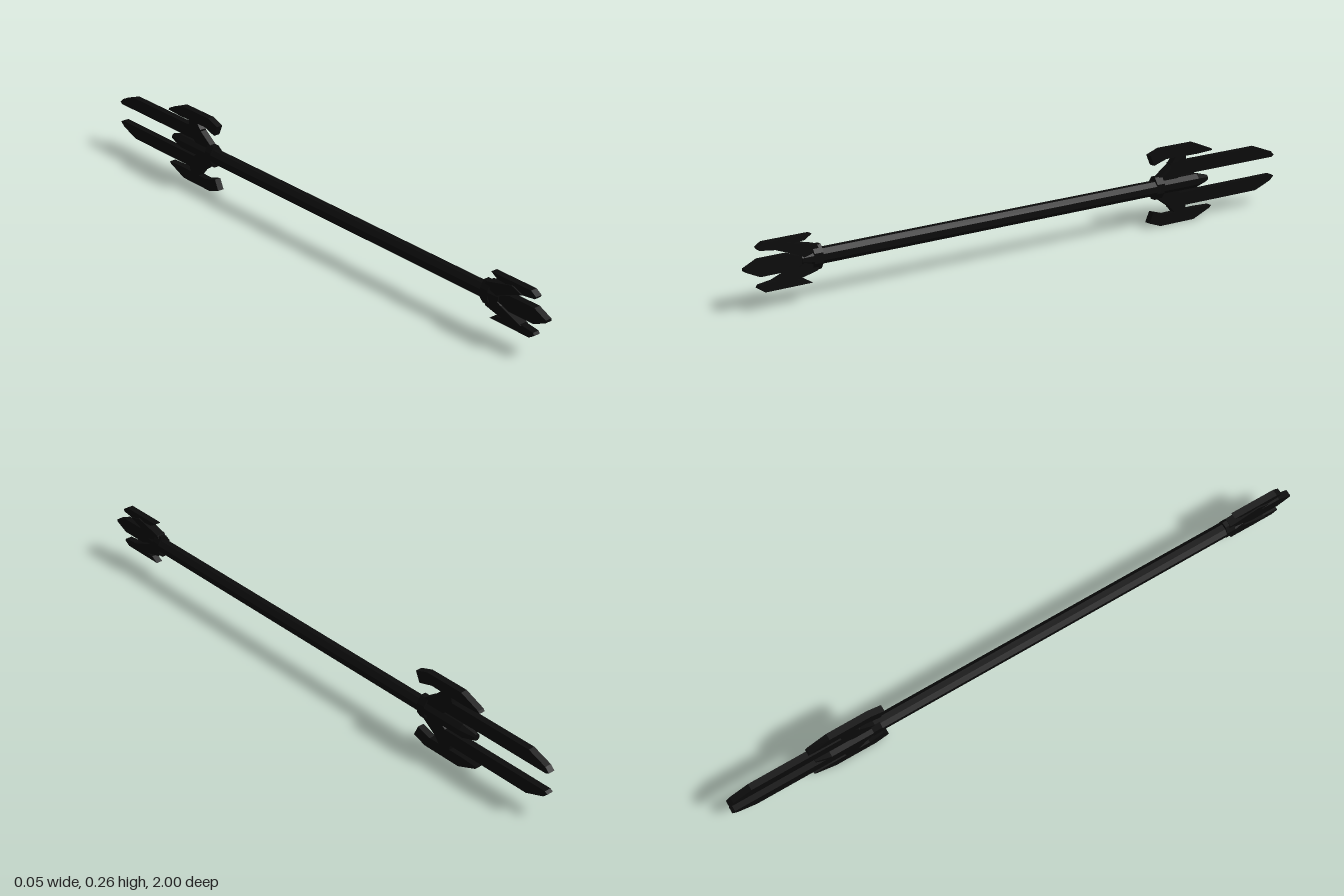
import * as THREE from 'three';

const AXIS = 0.128; // height of the shaft's centre line

export function createModel() {
  const group = new THREE.Group();
  group.name = 'doubleEndedStaff';
  const black = new THREE.MeshStandardMaterial({ color: 0x0b0b0b });
  black.name = 'black metal';

  const add = (name, geometry, z = 0) => {
    const mesh = new THREE.Mesh(geometry, black);
    mesh.name = name;
    mesh.position.set(0, AXIS, z);
    group.add(mesh);
  };

  // Flat plate cut from a [z, height above axis] outline, centred on x
  const plate = (name, points, halfWidth, sign = 1) => {
    const shape = new THREE.Shape(points.map(([z, y]) => new THREE.Vector2(z, y * sign)));
    const geometry = new THREE.ExtrudeGeometry(shape, { depth: halfWidth * 2, bevelEnabled: false });
    geometry.translate(0, 0, -halfWidth).rotateY(-Math.PI / 2);
    add(name, geometry);
  };

  // Eight-sided bar along z, with flats on top and sides
  const bar = (name, rFront, rBack, zFront, zBack, heightScale = 1) => {
    const k = 1 / Math.cos(Math.PI / 8);
    const geometry = new THREE.CylinderGeometry(rFront * k, rBack * k, zFront - zBack, 8)
      .rotateY(Math.PI / 8).rotateX(Math.PI / 2).scale(1, heightScale, 1).toNonIndexed();
    geometry.computeVertexNormals();
    add(name, geometry, (zFront + zBack) / 2);
  };

  // Shaft, collars and sockets
  bar('shaft', 0.023, 0.023, 0.78, -0.5);
  bar('frontCollar', 0.023, 0.023, 0.785, 0.755, 1.6);
  bar('backCollar', 0.023, 0.023, -0.485, -0.515, 1.6);
  bar('frontSocket', 0.015, 0.023, 0.82, 0.78);
  bar('backSocket', 0.023, 0.023, -0.5, -0.66);
  bar('backSocketTip', 0.023, 0.01, -0.66, -0.71);

  // Central spear point at the front
  plate('frontSpike', [[0.78, 0.008], [0.81, 0.008], [0.86, 0.025], [0.955, 0.025], [1, 0.004],
    [1, -0.004], [0.955, -0.025], [0.86, -0.025], [0.81, -0.008], [0.78, -0.008]], 0.011);

  for (const sign of [1, -1]) {
    const side = sign > 0 ? 'upper' : 'lower';
    // Front prong and the strut carrying it
    plate(side + 'FrontProng', [[0.785, 0.073], [0.94, 0.073], [0.96, 0.06], [0.955, 0.052],
      [0.91, 0.046], [0.87, 0.046], [0.84, 0.056], [0.81, 0.058]], 0.011, sign);
    plate(side + 'FrontStrut', [[0.76, 0.01], [0.77, 0.038], [0.87, 0.062], [0.91, 0.048],
      [0.83, 0.018], [0.8, 0.0]], 0.015, sign);
    // Long back tine
    plate(side + 'BackTine', [[-0.55, 0.03], [-0.55, 0.074], [-0.92, 0.074], [-0.985, 0.05],
      [-1, 0.036], [-0.99, 0.03]], 0.011, sign);
    // Hooked outer blade
    plate(side + 'OuterBlade', [[-0.464, 0.112], [-0.51, 0.128], [-0.65, 0.128], [-0.72, 0.1],
      [-0.725, 0.093], [-0.66, 0.09], [-0.53, 0.092], [-0.48, 0.077]], 0.011, sign);
    // Diagonal web joining the collar, tine and outer blade
    plate(side + 'BackWeb', [[-0.485, 0.012], [-0.49, 0.028], [-0.55, 0.07], [-0.575, 0.1],
      [-0.61, 0.1], [-0.62, 0.05], [-0.57, 0.015]], 0.011, sign);
  }
  return group;
}
